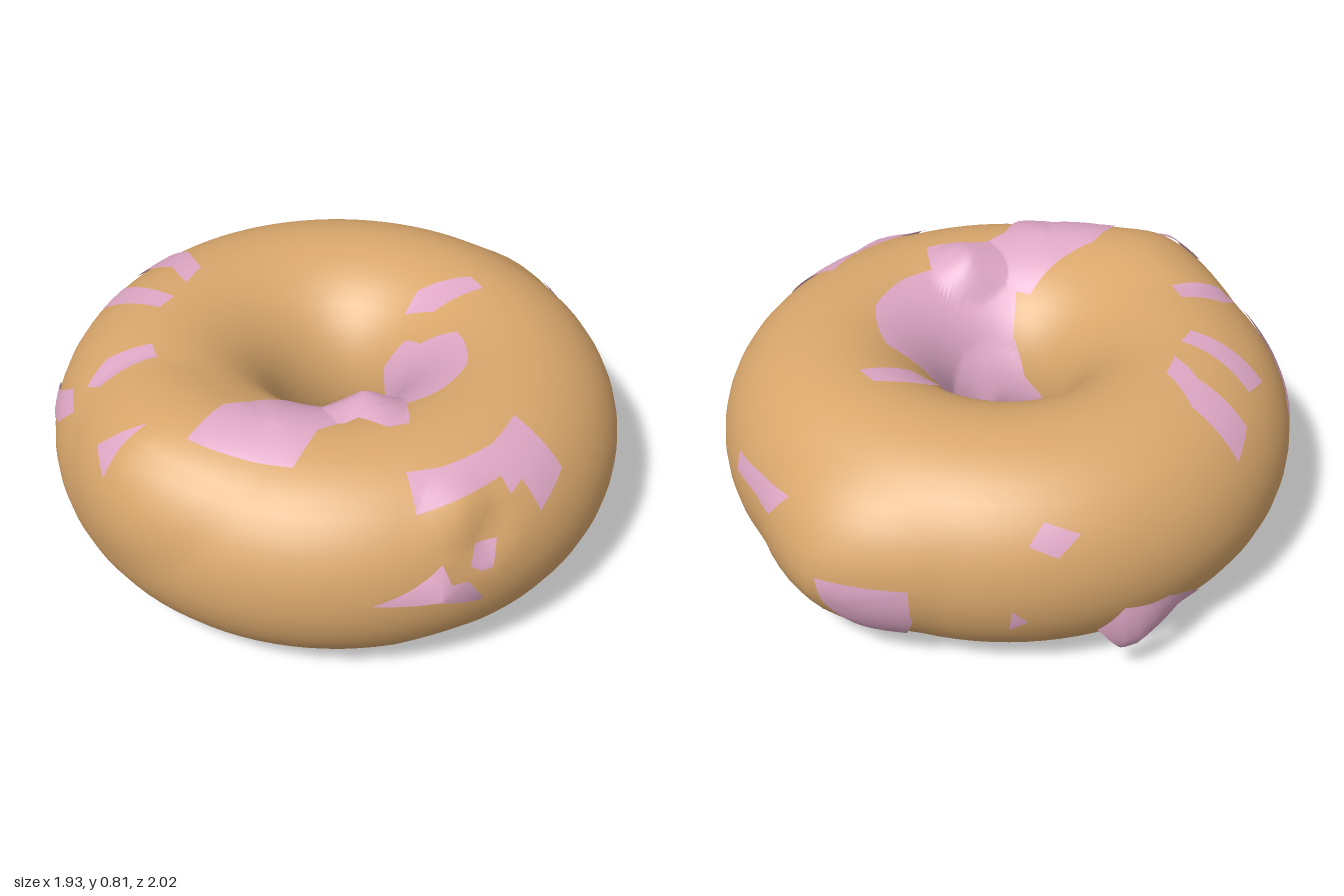
import * as THREE from 'three';
import { mergeVertices } from 'three/addons/utils/BufferGeometryUtils.js';

const R = 0.58, r = 0.385, MID = 0.388, Z0 = -0.02;
const rad = THREE.MathUtils.degToRad;

// Lumps and dents: angle round the ring, angle round the tube, height, width
const lumps = [
  [121, -5, 0.092, 0.36],   // pointed corner, back left
  [14, 25, -0.03, 0.1],     // dent in the front
  [10, 42, 0.025, 0.13],    // fold above the dent
  [-64, 48, 0.075, 0.38],   // swollen shoulder, front right
  [8, -62, -0.015, 0.2],    // dent underneath
];
// Raised rim and drip that only the large icing patch follows
const icingLumps = [
  [-35, 90, 0.03, 0.25],
  [-4, 112, 0.07, 0.14],
  [0, 185, 0.05, 0.2],
];
// Icing flakes that stand out to a peak
const frontPeak = [[2, 5, 0.055, 0.2]];
const backPeak = [[181, -32, 0.08, 0.22]];

function lift(list, a, t) {
  let sum = 0;
  for (const [la, lt, height, width] of list) {
    const da = Math.atan2(Math.sin(a - rad(la)), Math.cos(a - rad(la)));
    const dt = Math.atan2(Math.sin(t - rad(lt)), Math.cos(t - rad(lt)));
    const d = Math.hypot(da * (R + r * Math.cos(t)), dt * r);
    sum += height * Math.max(0, 1 - d / width);
  }
  return sum;
}

// a: angle round the ring (0 = front, 90 = +x); t: round the tube (0 = outside, 90 = top)
function surface(a, t, offset = 0) {
  const tube = r + lift(lumps, a, t) + offset;
  const ring = R + tube * Math.cos(t);
  return new THREE.Vector3(ring * Math.sin(a), MID + tube * Math.sin(t), Z0 + ring * Math.cos(a));
}

// Convert flat coordinates to ring and tube angles
const clamp = (v) => THREE.MathUtils.clamp(v, -1, 1);
const deg = (a, t) => new THREE.Vector2(rad(a), rad(t));
const top = (x, z) => new THREE.Vector2(Math.atan2(x, z - Z0),
  Math.acos(clamp((Math.hypot(x, z - Z0) - R) / r)));
const sideOn = (across, y) => {
  const t = Math.asin(clamp((y - MID) / r));
  return [Math.asin(clamp(across / (R + r * Math.cos(t)))), t];
};
const front = (x, y) => new THREE.Vector2(...sideOn(x, y));
const back = (x, y) => { const [a, t] = sideOn(x, y); return new THREE.Vector2(Math.PI - a, t); };
const left = (z, y) => { const [a, t] = sideOn(z - Z0, y); return new THREE.Vector2(Math.PI / 2 - a, t); };
const all = (fn, list) => list.map((p) => fn(...p));

// Outline in angles, filled with small triangles that hug the dough
function patchGeometry(outline, offset, extra, N) {
  const flat = new THREE.ShapeGeometry(new THREE.Shape(outline)).toNonIndexed().attributes.position;
  const out = [];
  for (let i = 0; i < flat.count; i += 3) {
    const [A, B, C] = [0, 1, 2].map((k) => new THREE.Vector3().fromBufferAttribute(flat, i + k));
    const put = (u, v) => {
      const p = A.clone().multiplyScalar(1 - (u + v) / N)
        .addScaledVector(B, u / N).addScaledVector(C, v / N);
      out.push(...surface(p.x, p.y, offset + lift(extra, p.x, p.y)).toArray());
    };
    for (let u = 0; u < N; u++) {
      for (let v = 0; v < N - u; v++) {
        put(u, v); put(u + 1, v); put(u, v + 1);
        if (u + v < N - 1) { put(u + 1, v); put(u + 1, v + 1); put(u, v + 1); }
      }
    }
  }
  const geo = new THREE.BufferGeometry();
  geo.setAttribute('position', new THREE.Float32BufferAttribute(out, 3));
  const merged = mergeVertices(geo, 1e-4);
  merged.computeVertexNormals();
  return merged;
}

export function createModel() {
  const group = new THREE.Group();
  const doughMat = new THREE.MeshStandardMaterial({ color: 0xd9a76c });
  const icingMat = new THREE.MeshStandardMaterial({ color: 0xdfa8c6, side: THREE.DoubleSide });

  // Dough ring
  let ring = new THREE.TorusGeometry(R, r, 40, 96);
  const { position, uv } = ring.attributes;
  for (let i = 0; i < position.count; i++) {
    const p = surface(uv.getX(i) * Math.PI * 2, uv.getY(i) * Math.PI * 2);
    position.setXYZ(i, p.x, p.y, p.z);
  }
  ring.deleteAttribute('uv');
  ring.deleteAttribute('normal');
  ring = mergeVertices(ring, 1e-4);
  ring.computeVertexNormals();
  const dough = new THREE.Mesh(ring, doughMat);
  dough.name = 'dough';
  group.add(dough);

  const add = (name, outline, extra = [], detail = 8) => {
    const mesh = new THREE.Mesh(patchGeometry(outline, 0.006, extra, detail), icingMat);
    mesh.name = name;
    group.add(mesh);
  };

  // Large icing patch running from the top down into the hole and round its wall
  add('mainIcing', [
    ...all(top, [[-0.6, 0.42], [-0.47, 0.32], [-0.2, 0.25], [-0.16, 0.28]]),
    ...all(deg, [[-28, 152], [-42, 172], [-70, 185], [-100, 180], [-112, 198], [-60, 205],
      [0, 205], [40, 212], [75, 200], [98, 178]]),
    ...all(top, [[0.2, -0.1], [0.27, -0.08], [0.3, -0.01], [0.4, 0.07], [0.36, 0.28], [0.22, 0.4],
      [0.1, 0.43], [0.07, 0.55], [0, 0.55], [-0.08, 0.5], [-0.15, 0.5], [-0.22, 0.52], [-0.33, 0.63]]),
  ], icingLumps, 24);

  // Small icing flakes on the top
  const flakes = [
    [[-0.46, -0.8], [-0.36, -0.66], [-0.35, -0.5], [-0.42, -0.42], [-0.44, -0.55], [-0.54, -0.7]],
    [[-0.61, -0.58], [-0.48, -0.35], [-0.54, -0.3], [-0.7, -0.51]],
    [[-0.76, -0.12], [-0.61, -0.1], [-0.61, -0.02], [-0.8, 0], [-0.84, -0.06]],
    [[-0.83, 0.24], [-0.69, 0.31], [-0.83, 0.34]],
    [[0.35, -0.21], [0.53, -0.18], [0.55, -0.1], [0.37, -0.09], [0.29, -0.16]],
    [[0, 0.73], [0.12, 0.73], [0.3, 0.67], [0.41, 0.57], [0.53, 0.7], [0.42, 0.81],
      [0.37, 0.76], [0.32, 0.8], [0.3, 0.76], [0, 0.84]],
  ];
  flakes.forEach((f) => add('topFlake', all(top, f)));

  // Icing on the sides
  add('rightFlake', all(deg, [[-90, 35], [-97, 38], [-103, 25], [-113, 12], [-117, -8],
    [-108, -8], [-105, 10], [-95, 20]]));
  add('leftFlake', all(left, [[-0.03, 0.52], [-0.37, 0.55], [-0.31, 0.46], [-0.04, 0.46]]));
  add('cornerFlake', all(left, [[-0.54, 0.39], [-0.75, 0.39], [-0.73, 0.25], [-0.65, 0.14],
    [-0.57, 0.12], [-0.55, 0.3]]));
  add('backFlake', all(back, [[0.1, 0.25], [0.02, 0.32], [-0.14, 0.3], [-0.31, 0.19],
    [-0.18, 0.14], [0, 0.15]]), backPeak);
  add('backChip', all(back, [[0.14, 0.58], [0.22, 0.52], [0.3, 0.56], [0.24, 0.62]]));
  add('backSliver', all(back, [[0.36, 0.34], [0.31, 0.29], [0.36, 0.25]]));
  add('frontFlake', all(front, [[-0.17, 0.4], [0.05, 0.52], [0.07, 0.46], [0.13, 0.45],
    [0.2, 0.34], [0.03, 0.42]]), frontPeak);
  add('frontChip', all(front, [[0.15, 0.48], [0.18, 0.54], [0.26, 0.53], [0.23, 0.45], [0.19, 0.45]]));
  return group;
}
